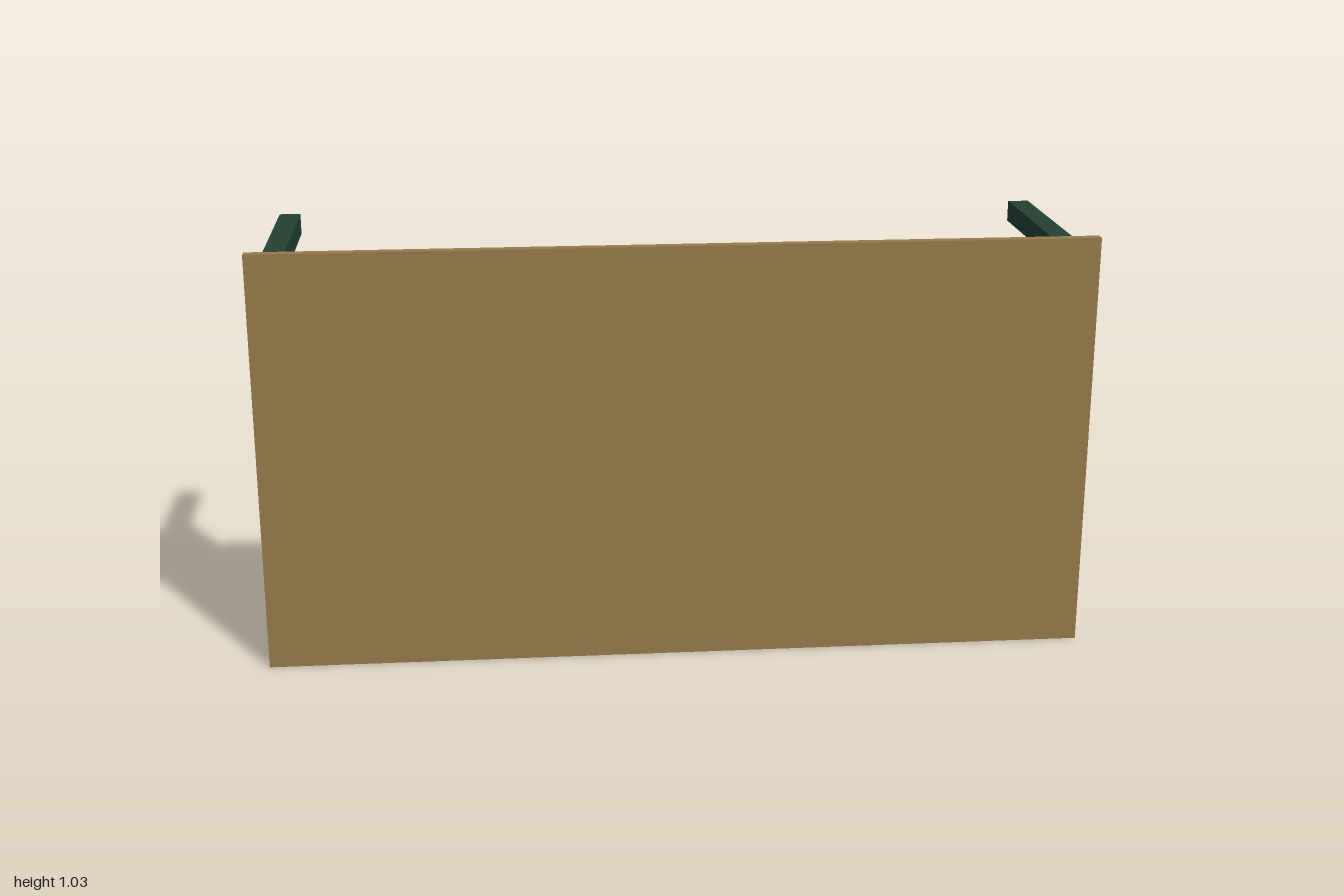
import * as THREE from 'three';

// A table resting on its long edge, with its top facing +z and its legs pointing back.
export function createModel() {
  const wood = new THREE.MeshStandardMaterial({ color: 0x967b4a });
  wood.name = 'tan wood';
  const green = new THREE.MeshStandardMaterial({ color: 0x224134 });
  green.name = 'dark green paint';

  const table = new THREE.Group();
  table.name = 'table';

  // Box given by its extents along each axis
  function addBox(name, material, [x0, x1], [y0, y1], [z0, z1]) {
    const mesh = new THREE.Mesh(new THREE.BoxGeometry(x1 - x0, y1 - y0, z1 - z0), material);
    mesh.position.set((x0 + x1) / 2, (y0 + y1) / 2, (z0 + z1) / 2);
    mesh.name = name;
    table.add(mesh);
  }
  const around = (centre, size) => [centre - size / 2, centre + size / 2];

  const under = 0.258; // underside of the table top
  const legX = 0.945, legSize = 0.052, board = 0.025;
  const legYs = [0.056, 0.974];

  addBox('tableTop', wood, [-1, 1], [0, 1.028], [under, 0.283]);

  for (const [side, s] of [['left', 1], ['right', -1]]) {
    // Legs at both corners of this end
    for (const [edge, y] of [['lower', legYs[0]], ['upper', legYs[1]]]) {
      addBox(`${side}${edge === 'lower' ? 'Lower' : 'Upper'}Leg`, green,
        around(s * legX, legSize), around(y, legSize), [-0.283, under]);
    }
    // Deep end panel centred between the legs
    addBox(`${side}EndPanel`, green, around(s * legX, board),
      [legYs[0] + legSize / 2, legYs[1] - legSize / 2], [-0.065, under]);
  }

  // Long narrow rails joining the two ends
  legYs.forEach((y, i) => {
    addBox(i ? 'upperRail' : 'lowerRail', green,
      [-legX + legSize / 2, legX - legSize / 2], around(y, board), [0.15, under]);
  });

  return table;
}
